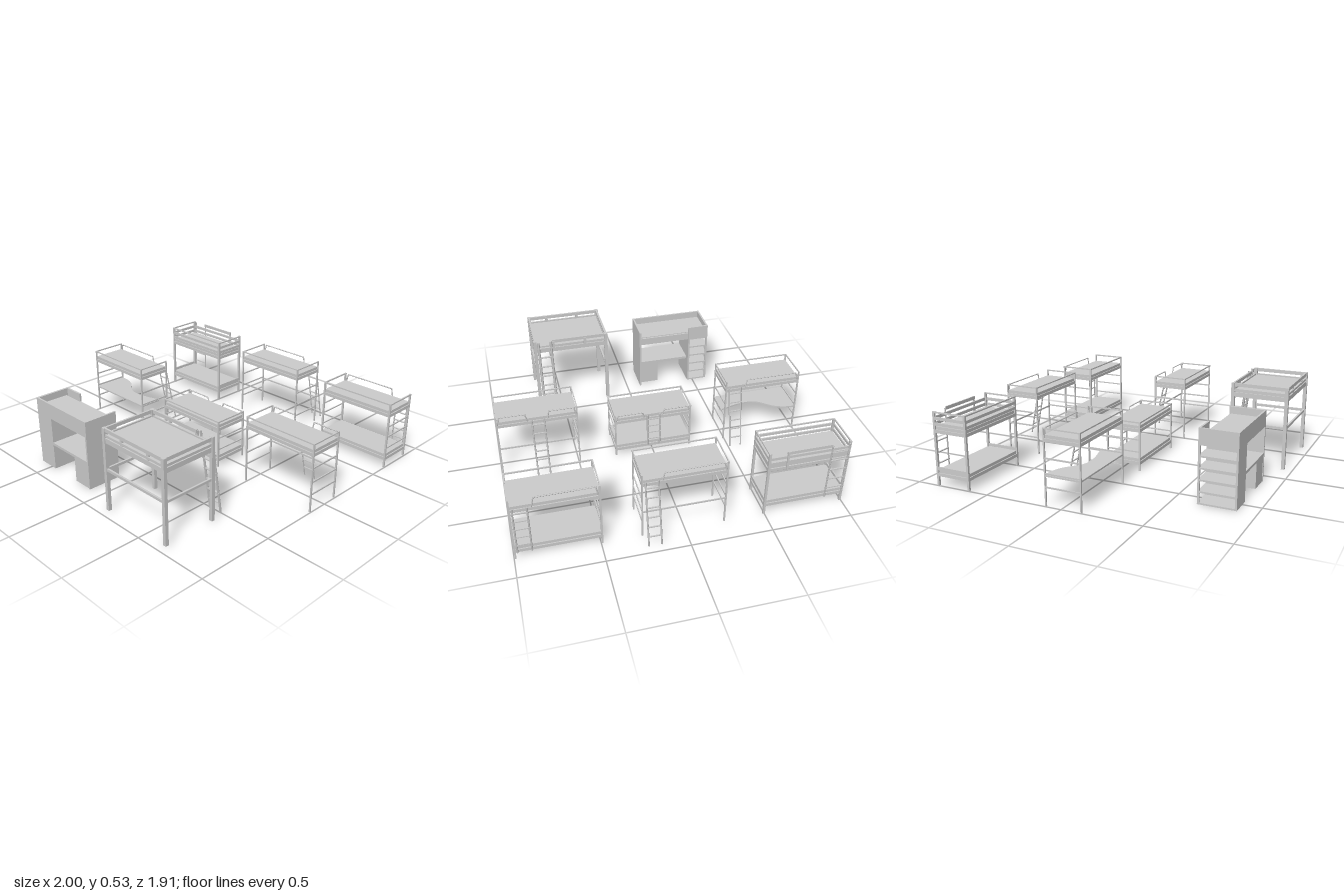
import * as THREE from 'three';

const grey = new THREE.MeshStandardMaterial({ color: 0xcccccc });

// Box given by its bounds
function box(group, name, x0, x1, y0, y1, z0, z1) {
  const mesh = new THREE.Mesh(new THREE.BoxGeometry(x1 - x0, y1 - y0, z1 - z0), grey);
  mesh.position.set((x0 + x1) / 2, (y0 + y1) / 2, (z0 + z1) / 2);
  mesh.name = name;
  group.add(mesh);
  return mesh;
}

// Round or square bar between two points
function bar(group, name, a, b, r = 0.004, sides = 8) {
  const p = new THREE.Vector3(...a), q = new THREE.Vector3(...b);
  const mesh = new THREE.Mesh(new THREE.CylinderGeometry(r, r, p.distanceTo(q), sides), grey);
  mesh.position.copy(p).lerp(q, 0.5);
  mesh.quaternion.setFromUnitVectors(new THREE.Vector3(0, 1, 0), q.sub(p).normalize());
  mesh.name = name;
  group.add(mesh);
}

// Four corner legs
function legs(g, b, top, w) {
  for (const x of [b.x0, b.x1 - w])
    for (const z of [b.z0, b.z1 - w]) box(g, 'leg', x, x + w, 0, top, z, z + w);
}

// Ring of rails; sides is any of f(ront), b(ack), l(eft), r(ight)
function rails(g, b, y0, y1, t, sides = 'fblr', name = 'rail') {
  if (sides.includes('f')) box(g, name, b.x0, b.x1, y0, y1, b.z1 - t, b.z1);
  if (sides.includes('b')) box(g, name, b.x0, b.x1, y0, y1, b.z0, b.z0 + t);
  if (sides.includes('l')) box(g, name, b.x1 - t, b.x1, y0, y1, b.z0, b.z1);
  if (sides.includes('r')) box(g, name, b.x0, b.x0 + t, y0, y1, b.z0, b.z1);
}

// Side frame, slats and mattress
function deck(g, b, y, frame = 0.02, thick = 0.03, inset = 0.007) {
  rails(g, b, y, y + frame, 0.008, 'fblr', 'bedFrame');
  const n = 13, step = (b.x1 - b.x0) / n;
  for (let i = 0; i < n; i++) {
    const x = b.x0 + step * i;
    box(g, 'slat', x + step * 0.2, x + step * 0.8, y + 0.002, y + 0.008, b.z0 + 0.004, b.z1 - 0.004);
  }
  box(g, 'mattress', b.x0 + inset, b.x1 - inset, y + 0.009, y + 0.009 + thick, b.z0 + inset, b.z1 - inset);
}

// Ladder on the back: from (yTop, zTop) to (yBottom, zBottom)
function ladder(g, x0, x1, yTop, zTop, yBottom, zBottom, w = 0.008, rungs = 6) {
  for (const x of [x0 + w / 2, x1 - w / 2])
    bar(g, 'ladderSide', [x, yBottom, zBottom], [x, yTop, zTop], w * 0.65, 4);
  for (let i = 1; i <= rungs; i++) {
    const t = i / (rungs + 0.6);
    const y = yBottom + (yTop - yBottom) * t, z = zBottom + (zTop - zBottom) * t;
    box(g, 'ladderRung', x0, x1, y - 0.003, y + 0.003, z - w / 2, z + w / 2);
  }
}

// Bent tube guard along the back edge
function backGuard(g, x0, x1, y0, y1, z) {
  bar(g, 'guardPost', [x0, y0, z], [x0 + 0.015, y1, z]);
  bar(g, 'guardPost', [x1, y0, z], [x1 - 0.015, y1, z]);
  bar(g, 'guardRail', [x0 + 0.015, y1, z], [x1 - 0.015, y1, z]);
}

const bounds = (x0, z0, w = 0.51, d = 0.235) => ({ x0, x1: x0 + w, z0, z1: z0 + d });

function named(root, name) {
  const g = new THREE.Group();
  g.name = name;
  root.add(g);
  return g;
}

// Slim loft bed with a leaning ladder
function loftBed(root, name, b, top, deckY, ladderX) {
  const g = named(root, name);
  legs(g, b, top, 0.009);
  deck(g, b, deckY);
  rails(g, b, top - 0.008, top, 0.006, 'flr', 'guardRail');
  for (const y of [0.11, 0.19, 0.28]) rails(g, b, y, y + 0.009, 0.006, 'lr', 'endBar');
  ladder(g, ladderX, ladderX + 0.085, deckY + 0.03, b.z0 - 0.004, 0, b.z0 - 0.09);
  return g;
}

// Bunk bed with two mattresses
function bunkBed(root, name, b, top, lowY, highY, post) {
  const g = named(root, name);
  legs(g, b, top, post);
  deck(g, b, lowY);
  deck(g, b, highY);
  rails(g, b, top - 0.009, top, 0.007, 'flr', 'guardRail');
  return g;
}

// Large loft with thick square posts
function wideLoft(root) {
  const g = named(root, 'wideLoftBed');
  const b = bounds(0.155, 0.58, 0.515, 0.37);
  legs(g, b, 0.53, 0.022);
  const i = { x0: b.x0 + 0.005, x1: b.x1 - 0.005, z0: b.z0 + 0.005, z1: b.z1 - 0.005 };
  deck(g, i, 0.44, 0.03, 0.035, 0.012);
  rails(g, i, 0.478, 0.492, 0.01);
  rails(g, i, 0.508, 0.53, 0.012, 'flr');
  box(g, 'backGuard', b.x0, 0.54, 0.508, 0.53, i.z0, i.z0 + 0.012);
  for (const x of [0.305, 0.525])
    for (const z of [b.z0, i.z1 - 0.014]) box(g, 'guardPost', x, x + 0.018, 0.445, 0.522, z, z + 0.012);
  rails(g, i, 0.26, 0.276, 0.012, 'flr', 'crossBar');
  ladder(g, 0.545, 0.645, 0.525, 0.575, 0, 0.5, 0.014, 7);
}

// Panel loft with bookcase, desk and cupboard
function studyLoft(root) {
  const g = named(root, 'studyLoftBed');
  const t = 0.012, x0 = -0.605, x1 = -0.095, xc = -0.46, z0 = 0.66, z1 = 0.885;
  box(g, 'frontBedPanel', x0, x1, 0.35, 0.45, z1 - t, z1);
  box(g, 'endBedPanel', x0, x0 + t, 0.35, 0.45, z0 - 0.01, z1);
  box(g, 'endPanel', x1 - t, x1, 0, 0.45, z0, z1);
  box(g, 'backBedPanel', xc, x1, 0.35, 0.4, z0, z0 + t);
  box(g, 'backHeadPanel', x0, xc, 0.35, 0.45, z0 - 0.01, z0 + 0.002);
  box(g, 'bedBase', x0, x1, 0.35, 0.362, z0, z1);
  box(g, 'mattress', x0 + t, x1 - t, 0.362, 0.405, z0 + t, z1 - t);
  // Bookcase open at the end and back
  box(g, 'bookcaseFront', x0, xc, 0, 0.35, z1 - t, z1);
  box(g, 'bookcaseWall', xc - t, xc, 0, 0.35, z0 - 0.01, z1);
  box(g, 'bookcasePost', x0, x0 + t, 0, 0.35, z0 - 0.01, z0 + 0.002);
  for (let i = 0; i < 5; i++)
    box(g, 'shelf', x0, xc - t, 0.07 * i, 0.07 * i + 0.01, z0 - 0.01, z1 - t);
  // Desk and cupboard
  box(g, 'desk', xc, x1 - t, 0.168, 0.185, z0 + 0.03, z1);
  box(g, 'cupboard', -0.24, x1 - t, 0, 0.168, z0 + 0.04, z1 - 0.004);
}

// Wavy desk top: deep at one end, shallow beside the ladder
function wavyDesk(g, b, y) {
  const s = new THREE.Shape();
  s.moveTo(b.x0, b.z0);
  s.bezierCurveTo(b.x0 + 0.2, b.z0, b.x0 + 0.18, b.z0 + 0.12, b.x0 + 0.3, b.z0 + 0.12);
  s.bezierCurveTo(b.x0 + 0.4, b.z0 + 0.12, b.x1 - 0.06, b.z0 + 0.09, b.x1, b.z0 + 0.08);
  s.lineTo(b.x1, b.z1);
  s.lineTo(b.x0, b.z1);
  const geo = new THREE.ExtrudeGeometry(s, { depth: 0.01, bevelEnabled: false, curveSegments: 10 });
  const mesh = new THREE.Mesh(geo, grey);
  mesh.rotation.x = Math.PI / 2;
  mesh.position.y = y + 0.01;
  mesh.name = 'wavyDesk';
  g.add(mesh);
}

export function createModel() {
  const root = new THREE.Group();
  root.name = 'bedCollection';

  // Back row: wooden bunk
  const a = bounds(-1, -0.86);
  const wood = bunkBed(root, 'woodenBunk', a, 0.46, 0.06, 0.33, 0.014);
  for (const y of [0.1, 0.375, 0.41]) rails(wood, a, y, y + 0.018, 0.008, y < 0.2 ? 'lr' : 'fblr', 'sideBoard');
  box(wood, 'backGuard', -0.88, -0.6, 0.44, 0.46, -0.864, -0.856);
  box(wood, 'guardPost', -0.612, -0.6, 0.33, 0.46, -0.868, -0.86);
  ladder(wood, -0.99, -0.875, 0.45, -0.864, 0.06, -0.864, 0.009, 5);

  // Back row: loft with back bar
  const bb = bounds(-0.25, -0.86);
  const backLoft = loftBed(root, 'backLoftBed', bb, 0.46, 0.38, 0.158);
  rails(backLoft, bb, 0.18, 0.19, 0.006, 'b', 'backBar');
  backGuard(backLoft, -0.24, 0.14, 0.39, 0.455, bb.z0 + 0.004);

  // Back row: metal bunk
  const c = bounds(0.487, -0.86);
  const metal = bunkBed(root, 'metalBunk', c, 0.44, 0.05, 0.35, 0.011);
  for (const y of [0.13, 0.21, 0.28]) rails(metal, c, y, y + 0.008, 0.006, 'lr', 'endBar');
  backGuard(metal, 0.5, 0.87, 0.37, 0.435, c.z0 + 0.004);
  ladder(metal, 0.89, 0.98, 0.38, -0.865, 0.05, -0.865, 0.008, 5);

  // Middle row: loft with wavy desk
  const d = bounds(-1, -0.103);
  const deskLoft = loftBed(root, 'deskLoftBed', d, 0.46, 0.38, -0.592);
  backGuard(deskLoft, -0.99, -0.62, 0.39, 0.455, d.z0 + 0.004);
  wavyDesk(deskLoft, d, 0.178);

  // Middle row: low bunk
  const e = bounds(-0.257, -0.103);
  const low = bunkBed(root, 'lowBunk', e, 0.32, 0.04, 0.255, 0.01);
  for (const y of [0.12, 0.2]) rails(low, e, y, y + 0.008, 0.006, 'lr', 'endBar');
  backGuard(low, -0.25, -0.06, 0.27, 0.315, e.z0 + 0.004);
  backGuard(low, 0.055, 0.245, 0.27, 0.315, e.z0 + 0.004);
  ladder(low, -0.048, 0.042, 0.29, -0.106, 0.05, -0.106, 0.008, 4);

  // Middle row: plain loft
  const f = bounds(0.487, -0.103);
  const plain = loftBed(root, 'plainLoftBed', f, 0.44, 0.36, 0.695);
  rails(plain, f, 0.19, 0.2, 0.006, 'b', 'backBar');
  backGuard(plain, 0.495, 0.68, 0.37, 0.435, f.z0 + 0.004);
  backGuard(plain, 0.8, 0.99, 0.37, 0.435, f.z0 + 0.004);

  // Front row
  studyLoft(root);
  wideLoft(root);
  return root;
}
